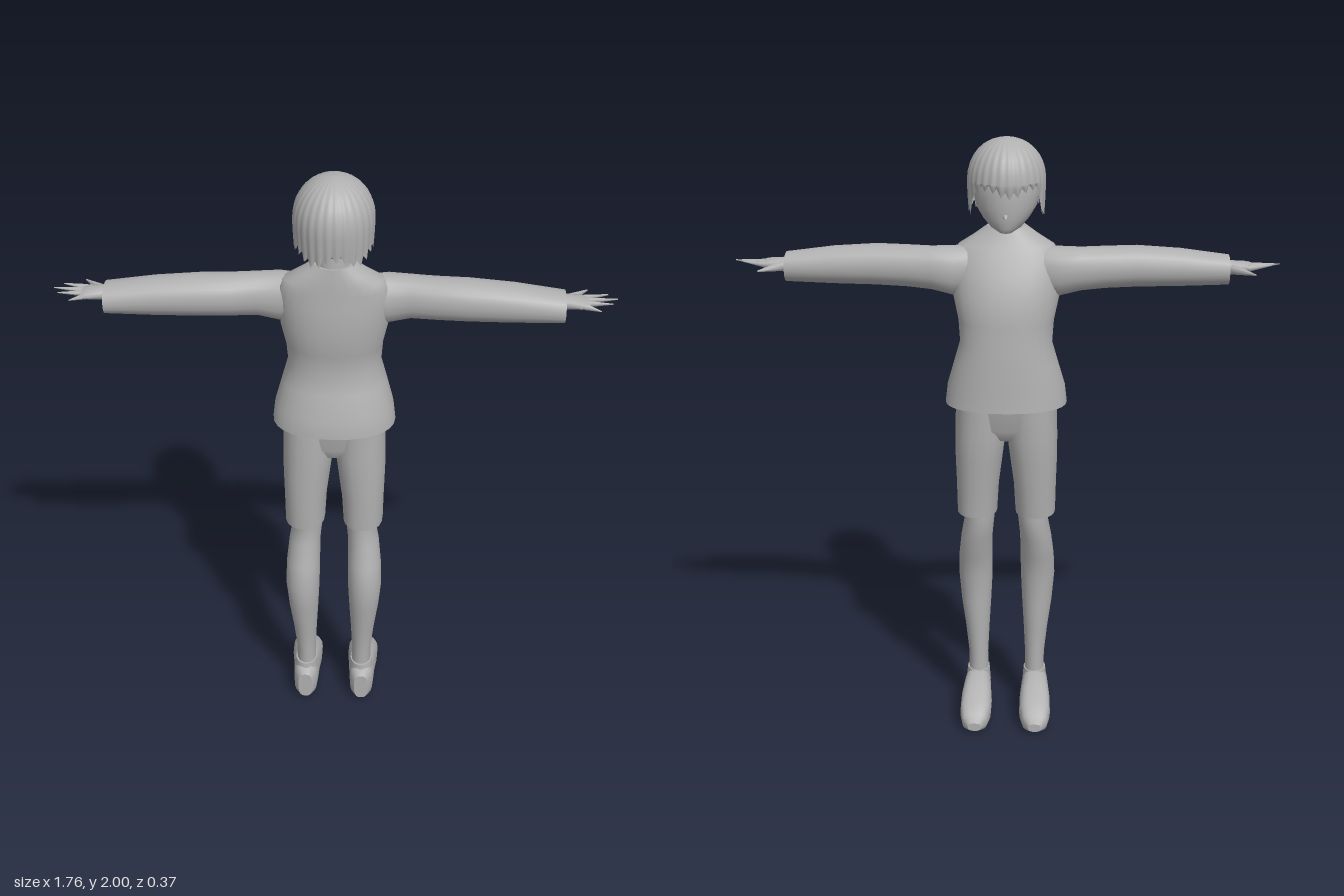
import * as THREE from 'three';
import { mergeGeometries } from 'three/addons/utils/BufferGeometryUtils.js';

const AXES = { x: ['x', 'y', 'z'], y: ['y', 'z', 'x'], z: ['z', 'x', 'y'] };

// Joins closed loops of points into a smooth skin, with flat end caps
function skin(loops, caps = true) {
  const pos = [], idx = [], n = loops[0].length;
  loops.forEach(l => l.forEach(p => pos.push(p.x, p.y, p.z)));
  for (let i = 0; i < loops.length - 1; i++) {
    for (let j = 0; j < n; j++) {
      const a = i * n + j, b = i * n + (j + 1) % n;
      idx.push(a, b, b + n, a, b + n, a + n);
    }
  }
  if (caps) [loops[0], loops[loops.length - 1]].forEach((l, end) => {
    const start = pos.length / 3;
    const c = l.reduce((s, p) => s.add(p), new THREE.Vector3()).divideScalar(n);
    [...l, c].forEach(p => pos.push(p.x, p.y, p.z));
    for (let j = 0; j < n; j++) {
      const a = start + j, b = start + (j + 1) % n;
      if (end) idx.push(a, b, start + n); else idx.push(b, a, start + n);
    }
  });
  const g = new THREE.BufferGeometry();
  g.setAttribute('position', new THREE.Float32BufferAttribute(pos, 3));
  g.setIndex(idx);
  g.computeVertexNormals();
  return g;
}

// Rings are [position on axis, centre u, centre v, radius u, radius v]
function loft(axis, rings, power = 2, n = 20) {
  const [s, u, v] = AXES[axis];
  const bend = c => Math.sign(c) * Math.abs(c) ** (2 / power);
  return skin(rings.map(([d, cu, cv, ru, rv]) => Array.from({ length: n }, (_, j) => {
    const a = j / n * Math.PI * 2, p = new THREE.Vector3();
    p[s] = d;
    p[u] = cu + ru * bend(Math.cos(a));
    p[v] = cv + rv * bend(Math.sin(a));
    return p;
  })));
}

// Pointed taper between two points
function spike(a, b, r) {
  const from = new THREE.Vector3(...a), dir = new THREE.Vector3(...b).sub(from);
  const g = new THREE.CylinderGeometry(r * 0.15, r, dir.length(), 7);
  g.translate(0, dir.length() / 2, 0);
  g.applyQuaternion(new THREE.Quaternion().setFromUnitVectors(new THREE.Vector3(0, 1, 0), dir.normalize()));
  return g.translate(...a);
}

function mirrorX(geo) {
  const g = geo.clone().scale(-1, 1, 1), i = g.index.array;
  for (let k = 0; k < i.length; k += 3) [i[k], i[k + 1]] = [i[k + 1], i[k]];
  g.computeVertexNormals();
  return g;
}

// Bobbed hair: dome above, hanging locks with pointed tips below
function hairGeometry() {
  const n = 112, locks = 28, loops = [];
  const rows = 14, drop = 5;
  for (let i = 0; i < rows; i++) {
    const loop = [];
    for (let j = 0; j < n; j++) {
      const a = j / n * Math.PI * 2;
      const side = Math.abs(Math.atan2(Math.sin(a - Math.PI), Math.cos(a - Math.PI)));
      const saw = Math.abs((j / n * locks) % 1 * 2 - 1);
      const hem = 1.835 - 0.07 * THREE.MathUtils.smoothstep(side, 0.95, 1.3)
        + saw * 0.022 + 0.012 * Math.sin(a * 5 + 1);
      let y, r;
      if (i < drop) {
        const t = i / drop;
        y = hem + (1.87 - hem) * t;
        r = 0.96 + 0.04 * Math.sin(t * Math.PI / 2);
      } else {
        const e = (i - drop) / (rows - 1 - drop) * Math.PI / 2;
        y = 1.87 + 0.13 * Math.sin(e);
        r = Math.max(Math.cos(e), 0.002) ** 0.92;
      }
      r *= 1 - 0.03 * saw;
      loop.push(new THREE.Vector3(0.126 * r * Math.sin(a), y, 0.042 + 0.143 * r * Math.cos(a)));
    }
    loops.push(loop);
  }
  return skin(loops, false);
}

export function createModel() {
  const model = new THREE.Group();
  const grey = new THREE.MeshStandardMaterial({ color: 0xb0b0b0, side: THREE.DoubleSide });
  grey.name = 'plain grey';
  const add = (name, geo) => {
    const m = new THREE.Mesh(geo, grey);
    m.name = name;
    model.add(m);
  };
  const pair = (name, geo) => {
    add(name + 'Left', geo);
    add(name + 'Right', mirrorX(geo));
  };

  // Loose shirt with sloping shoulders
  add('shirt', loft('y', [
    [1.14, 0.008, 0, 0.148, 0.2], [1.2, 0.008, 0, 0.143, 0.193], [1.28, -0.005, 0, 0.127, 0.17],
    [1.35, -0.01, 0, 0.115, 0.15], [1.42, -0.002, 0, 0.117, 0.155], [1.5, 0.007, 0, 0.12, 0.172],
    [1.58, 0.02, 0, 0.1, 0.178], [1.63, 0.03, 0, 0.086, 0.175], [1.66, 0.037, 0, 0.077, 0.155],
    [1.69, 0.043, 0, 0.068, 0.105], [1.72, 0.047, 0, 0.06, 0.062],
  ], 2.25, 28));

  // Neck and head
  add('neck', loft('y', [
    [1.67, 0.048, 0, 0.058, 0.06], [1.72, 0.047, 0, 0.055, 0.053], [1.83, 0.04, 0, 0.055, 0.05],
  ]));
  add('head', loft('y', [
    [1.713, -0.04, 0, 0.025, 0.02], [1.728, -0.018, 0, 0.058, 0.048], [1.755, 0.01, 0, 0.09, 0.075],
    [1.79, 0.03, 0, 0.115, 0.098], [1.84, 0.04, 0, 0.125, 0.108], [1.9, 0.042, 0, 0.12, 0.1],
    [1.96, 0.042, 0, 0.07, 0.06],
  ], 2, 24));
  add('nose', spike([0, 1.772, -0.07], [0, 1.763, -0.096], 0.013));
  add('hair', hairGeometry());

  // Sleeves
  pair('sleeve', loft('x', [
    [0.1, 1.585, 0.02, 0.075, 0.06], [0.17, 1.58, 0.005, 0.08, 0.067], [0.24, 1.587, 0.008, 0.07, 0.062],
    [0.32, 1.59, 0.022, 0.067, 0.068], [0.42, 1.592, 0.032, 0.066, 0.07], [0.56, 1.588, 0.037, 0.06, 0.067],
    [0.715, 1.58, 0.041, 0.047, 0.061],
  ], 2.2));

  // Hands with four fingers and a thumb
  pair('hand', mergeGeometries([
    loft('x', [
      [0.69, 1.59, 0.03, 0.025, 0.03], [0.725, 1.59, 0.03, 0.022, 0.033],
      [0.765, 1.592, 0.034, 0.016, 0.042], [0.79, 1.592, 0.036, 0.009, 0.038],
    ], 2, 12),
    ...[[0.006, 0.85, 0.003, 1.603], [0.026, 0.878, 0.03, 1.602],
      [0.046, 0.862, 0.054, 1.597], [0.064, 0.825, 0.076, 1.582]]
      .map(([z, x, tz, ty]) => spike([0.775, 1.592, z], [x, ty, tz], 0.011)),
    spike([0.725, 1.588, 0.008], [0.792, 1.585, -0.06], 0.017),
  ].map(g => { g.deleteAttribute('uv'); return g; })));

  // Knee-length shorts
  add('shortsTop', loft('y', [
    [1.02, 0.01, 0, 0.07, 0.1], [1.06, 0.006, 0, 0.096, 0.163], [1.16, 0.004, 0, 0.11, 0.166],
  ], 2.4, 24));
  pair('shortsLeg', loft('y', [
    [0.75, 0.021, 0.098, 0.091, 0.067], [0.85, 0.018, 0.096, 0.097, 0.071],
    [0.95, 0.013, 0.091, 0.104, 0.079], [1.03, 0.009, 0.086, 0.107, 0.084],
    [1.15, 0.006, 0.084, 0.108, 0.082],
  ], 2.3));

  // Lower legs
  pair('leg', loft('y', [
    [0.1, 0.045, 0.097, 0.044, 0.034], [0.2, 0.047, 0.098, 0.042, 0.033],
    [0.3, 0.052, 0.101, 0.05, 0.041], [0.4, 0.058, 0.105, 0.06, 0.051],
    [0.5, 0.064, 0.107, 0.066, 0.058], [0.58, 0.045, 0.105, 0.066, 0.057],
    [0.66, 0.02, 0.1, 0.066, 0.053], [0.73, 0.011, 0.09, 0.066, 0.05],
    [0.82, 0.015, 0.09, 0.07, 0.052],
  ]));

  // Shoes with low pointed toes and a raised ankle collar
  pair('shoe', loft('z', [
    [-0.182, 0.103, 0.022, 0.022, 0.014], [-0.165, 0.103, 0.032, 0.042, 0.031],
    [-0.12, 0.102, 0.046, 0.053, 0.046], [-0.06, 0.101, 0.06, 0.053, 0.06],
    [0, 0.1, 0.073, 0.047, 0.073], [0.05, 0.1, 0.068, 0.044, 0.068],
    [0.095, 0.1, 0.067, 0.04, 0.064], [0.114, 0.1, 0.058, 0.025, 0.05],
  ], 2.8));
  pair('shoeCollar', loft('y', [
    [0.09, 0.047, 0.099, 0.056, 0.043], [0.145, 0.047, 0.098, 0.05, 0.038],
  ]));

  return model;
}
